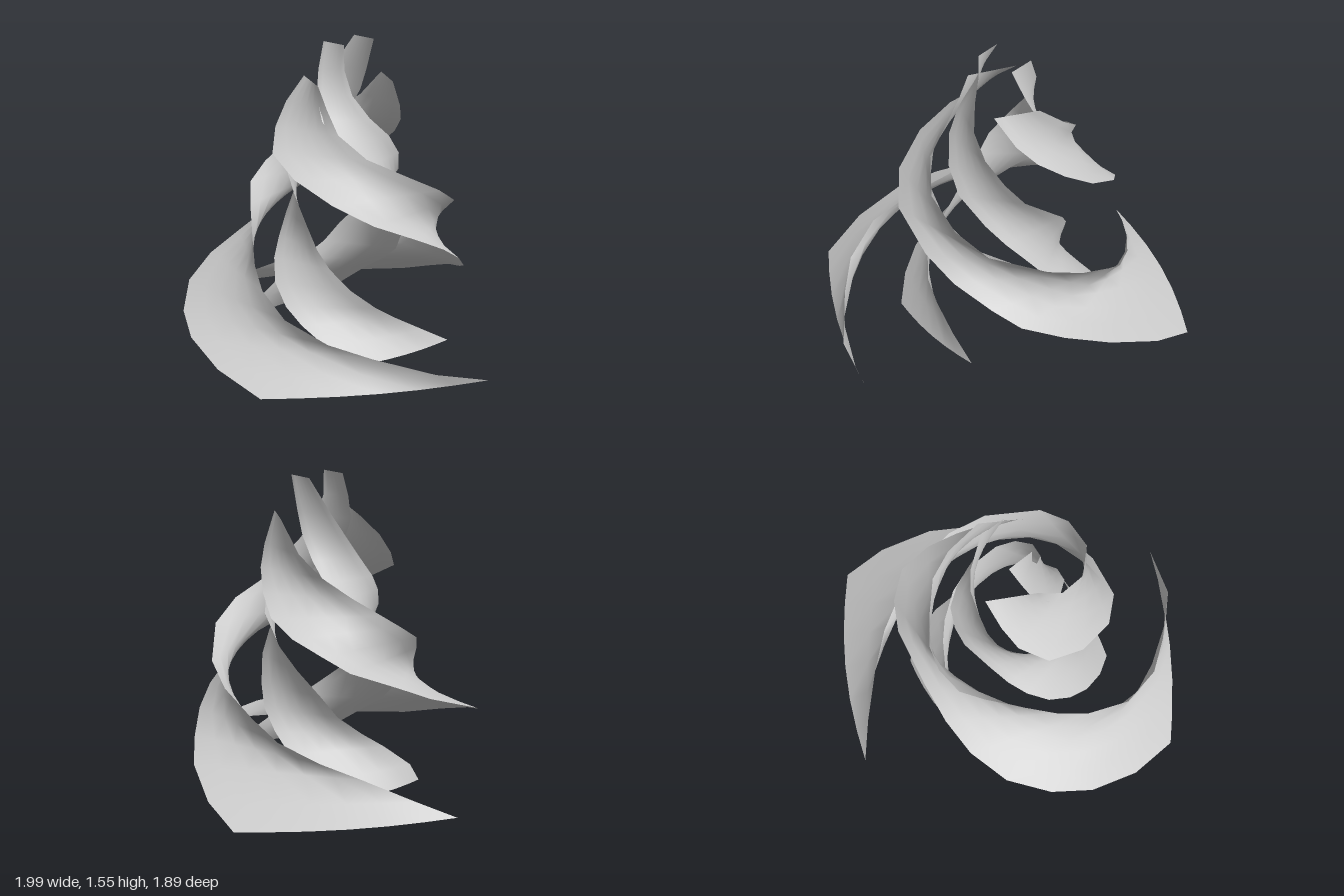
import * as THREE from 'three';

// Each ribbon is a stack of level rungs: [y, angle1, radius1, angle2, radius2]
// Angles in degrees, turning from +x towards +z.
const FRONT = [
  [0.01, -2, 0.995, 67, 0.995],
  [0.09, 15, 0.93, 83, 0.955],
  [0.17, 34, 0.82, 99, 0.91],
  [0.23, 49, 0.78, 113, 0.856],
  [0.31, 67, 0.71, 129, 0.79],
  [0.39, 85, 0.60, 145, 0.70],
  [0.46, 101, 0.52, 161, 0.62],
  [0.55, 119, 0.47, 180, 0.57],
  [0.67, 144, 0.48, 208, 0.60],
  [0.76, 158, 0.52, 221, 0.615],
  [0.84, 173, 0.515, 235, 0.60],
  [0.91, 185, 0.49, 250, 0.52],
  [1.0, 202, 0.43, 265, 0.43],
  [1.1, 222, 0.40, 283, 0.36],
  [1.2, 241, 0.35, 299, 0.31],
  [1.35, 270, 0.285, 320, 0.26],
];

const BACK = [
  [0.0, 180, 1.0, 244, 1.05],
  [0.08, 190, 0.88, 256, 0.95],
  [0.18, 206, 0.76, 272, 0.82],
  [0.25, 222, 0.70, 288, 0.71],
  [0.33, 240, 0.66, 306, 0.65],
  [0.42, 253, 0.64, 319, 0.61],
  [0.53, 273, 0.62, 339, 0.57],
  [0.62, 292, 0.60, 358, 0.54],
  [0.74, 321, 0.58, 387, 0.53],
  [0.84, 339, 0.54, 409, 0.50],
  [0.94, 360, 0.47, 435, 0.45],
  [1.03, 384, 0.36, 461, 0.41],
  [1.13, 408, 0.25, 482, 0.34],
  [1.24, 425, 0.20, 498, 0.28],
  [1.35, 444, 0.18, 524, 0.22],
];

const COLUMNS = 6;

// Narrower, taller copy of an outer ribbon, with its own foot and tip rungs
function innerRungs(rungs, scale, tipScale, foot, tip) {
  const middle = rungs.slice(1, -1).map(([y, a1, r1, a2, r2]) => {
    const s = THREE.MathUtils.lerp(scale, tipScale, (y / 1.35) ** 4);
    return [y * 1.148, a1 - 30, r1 * s, a2 - 30, r2 * s];
  });
  return [foot, ...middle, tip];
}

function polar(degrees, radius, y) {
  const a = THREE.MathUtils.degToRad(degrees);
  return new THREE.Vector3(Math.cos(a) * radius, y, Math.sin(a) * radius);
}

// Ruled strip between the two spiralling edges, with the foot bowed outwards
function ribbonGeometry(rungs) {
  const positions = [];
  const indices = [];
  rungs.forEach(([y, a1, r1, a2, r2], i) => {
    const p = polar(a1, r1, y);
    const q = polar(a2, r2, y);
    const bow = 0.07 * Math.max(0, 1 - y / 0.2);
    for (let j = 0; j <= COLUMNS; j++) {
      const t = j / COLUMNS;
      const v = p.clone().lerp(q, t);
      const k = 1 + bow * Math.sin(Math.PI * t);
      positions.push(v.x * k, v.y, v.z * k);
      if (i > 0 && j > 0) {
        const d = i * (COLUMNS + 1) + j;
        const b = d - COLUMNS - 1;
        indices.push(b - 1, d - 1, b, b, d - 1, d);
      }
    }
  });
  const geometry = new THREE.BufferGeometry();
  geometry.setAttribute('position', new THREE.Float32BufferAttribute(positions, 3));
  geometry.setIndex(indices);
  geometry.computeVertexNormals();
  return geometry;
}

export function createModel() {
  const group = new THREE.Group();
  group.name = 'spiralRibbons';
  const material = new THREE.MeshStandardMaterial({ color: 0xcccccc, side: THREE.DoubleSide });

  function addRibbon(name, rungs) {
    const mesh = new THREE.Mesh(ribbonGeometry(rungs), material);
    mesh.name = name;
    group.add(mesh);
  }

  // Wide outer pair
  addRibbon('outerFrontRibbon', FRONT);
  addRibbon('outerBackRibbon', BACK);
  // Narrow inner pair
  addRibbon('innerFrontRibbon', innerRungs(FRONT, 0.52, 0.62,
    [0.01, -30, 0.57, 37, 0.52], [1.55, 246, 0.175, 293, 0.175]));
  addRibbon('innerBackRibbon', innerRungs(BACK, 0.57, 0.41,
    [0, 155, 0.53, 214, 0.57], [1.55, 396, 0.09, 499, 0.09]));
  return group;
}
